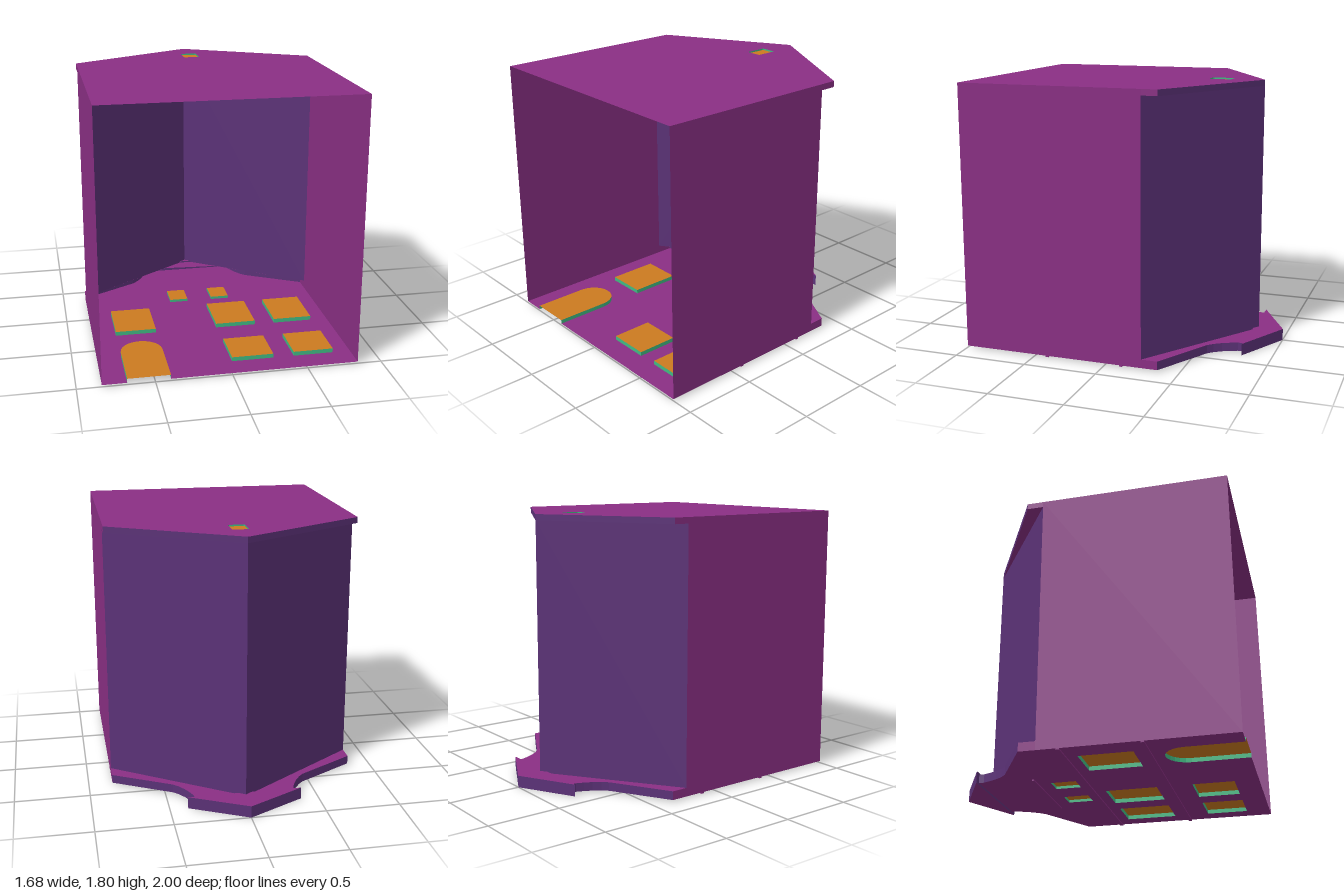
import * as THREE from 'three';

const mat = (name, color) => {
  const m = new THREE.MeshStandardMaterial({ color, side: THREE.DoubleSide });
  m.name = name;
  return m;
};

export function createModel() {
  const house = new THREE.Group();
  house.name = 'house';
  const magenta = mat('magenta wall', 0x8a2f84);
  const purple = mat('purple roof', 0x5c3278);
  const orange = mat('orange pane', 0xcc7a20);
  const green = mat('green frame', 0x40b882);

  const add = (name, geo, m) => {
    const mesh = new THREE.Mesh(geo, m);
    mesh.name = name;
    house.add(mesh);
    return mesh;
  };
  const vecs = (pts) => pts.map(([x, z]) => new THREE.Vector2(x, -z));
  const mirror = (pts) => pts.map(([x, z]) => [-x, z]);

  // flat horizontal sheet from an [x, z] outline
  const sheet = (name, pts, y, m, holes = []) => {
    const shape = new THREE.Shape(vecs(pts));
    holes.forEach((h) => shape.holes.push(new THREE.Path(vecs(h))));
    const geo = new THREE.ShapeGeometry(shape).rotateX(-Math.PI / 2).translate(0, y, 0);
    return add(name, geo, m);
  };

  // upright band along an [x, z] path
  const band = (name, pts, y0, y1, m) => {
    const pos = [];
    for (let i = 0; i < pts.length - 1; i++) {
      const [ax, az] = pts[i], [bx, bz] = pts[i + 1];
      pos.push(ax, y0, az, bx, y0, bz, bx, y1, bz, ax, y0, az, bx, y1, bz, ax, y1, az);
    }
    const geo = new THREE.BufferGeometry();
    geo.setAttribute('position', new THREE.Float32BufferAttribute(pos, 3));
    geo.computeVertexNormals();
    return add(name, geo, m);
  };

  const rect = (x0, x1, z0, z1, c = 0) => c
    ? [[x0 + c, z0], [x1 - c, z0], [x1, z0 + c], [x1, z1 - c], [x1 - c, z1], [x0 + c, z1], [x0, z1 - c], [x0, z0 + c]]
    : [[x0, z0], [x1, z0], [x1, z1], [x0, z1]];
  const opening = (name, pts, y0, y1, closed = true) => {
    band(name + 'Frame', closed ? [...pts, pts[0]] : pts, y0, y1, green);
    sheet(name + 'Pane', pts, y1, orange);
  };

  const W = 0.84, FLOOR = 0.012, LIP = 0.07, TOP = 1.8, TOP_LIP = 1.76;
  const EAVE = -0.36, ROOF_EAVE = -0.25, RIDGE = -0.83;

  // stepped gable edge with a concave shoulder, from eave to crown
  const shoulder = [[W, EAVE], [0.45, -0.58], [0.415, -0.615], [0.38, -0.665], [0.355, -0.715], [0.335, -0.765], [0.335, -0.8]];
  const gable = [...shoulder, ...mirror(shoulder).reverse()];

  // arched door, open at the base
  const door = [[-0.68, 1]];
  for (let i = 0; i <= 12; i++) {
    const a = Math.PI * (1 - i / 12);
    door.push([-0.54 + 0.14 * Math.cos(a), 0.63 - 0.14 * Math.sin(a)]);
  }
  door.push([-0.4, 1]);

  // windows in three rows
  const windows = [
    rect(0.03, 0.31, 0.56, 0.84), rect(0.45, 0.72, 0.56, 0.84),
    ...[[-0.68, -0.4], [0.03, 0.31], [0.45, 0.72]].map(([a, b]) => rect(a, b, -0.03, 0.32)),
  ];
  const smallWindows = [rect(-0.22, -0.09, -0.34, -0.17), rect(0.09, 0.22, -0.34, -0.17)];

  // facade lying face down
  sheet('facade', [...gable, [-W, 1], ...door, [W, 1]], FLOOR, magenta, [...windows, ...smallWindows]);
  opening('door', door, FLOOR, 0.04, false);
  windows.forEach((w) => opening('window', w, FLOOR, 0.04));
  smallWindows.forEach((w) => opening('smallWindow', w, FLOOR, 0.03));

  // facade rim and the ledge outside the roof
  band('facadeRim', gable, FLOOR, LIP, purple);
  sheet('facadeLedge', [...gable, [-W, ROOF_EAVE], [0, RIDGE + 0.002], [W, ROOF_EAVE]]
    .filter(([x, z]) => true), LIP, magenta);

  // moulding strips on the facade
  const strip = (x, z, w, d) =>
    add('moulding', new THREE.BoxGeometry(w, 0.009, d), magenta).position.set(x, 0.0075, z);
  strip(0, 0.41, 2 * W, 0.022);
  strip(0, -0.11, 2 * W, 0.022);
  strip(0, -0.43, 0.64, 0.012);

  // triangular crown on the gable
  const crown = [[-0.38, -0.8], [0, -1], [0.38, -0.8]];
  sheet('crownTop', crown, 0.08, magenta);
  sheet('crownBottom', crown, 0, magenta);
  band('crownRim', [...crown, crown[0]], 0, 0.08, purple);

  // back wall with its vent
  const plate = [[W, EAVE], [0, RIDGE], [-W, EAVE]];
  const vent = rect(-0.055, 0.055, -0.61, -0.46, 0.008);
  sheet('backWall', [...plate, [-W, 1], [W, 1]], TOP, magenta, [vent]);
  opening('vent', vent, TOP, TOP - 0.01);
  band('backRim', plate, TOP_LIP, TOP, purple);
  for (const s of [1, -1]) {
    sheet('backLedge', [[s * W, EAVE], [0, RIDGE], [s * W, ROOF_EAVE]], TOP_LIP, magenta);
    // side walls, with short returns under the overhangs
    band('sideWall', [[s * W, 1], [s * W, ROOF_EAVE]], FLOOR, TOP, magenta);
    band('sideReturn', [[s * W, ROOF_EAVE], [s * W, EAVE]], FLOOR, LIP, magenta);
    band('sideReturn', [[s * W, ROOF_EAVE], [s * W, EAVE]], TOP_LIP, TOP, magenta);
    // roof slopes
    band('roofSlope', [[s * W, ROOF_EAVE], [0, RIDGE]], LIP, TOP_LIP, purple);
  }
  return house;
}
